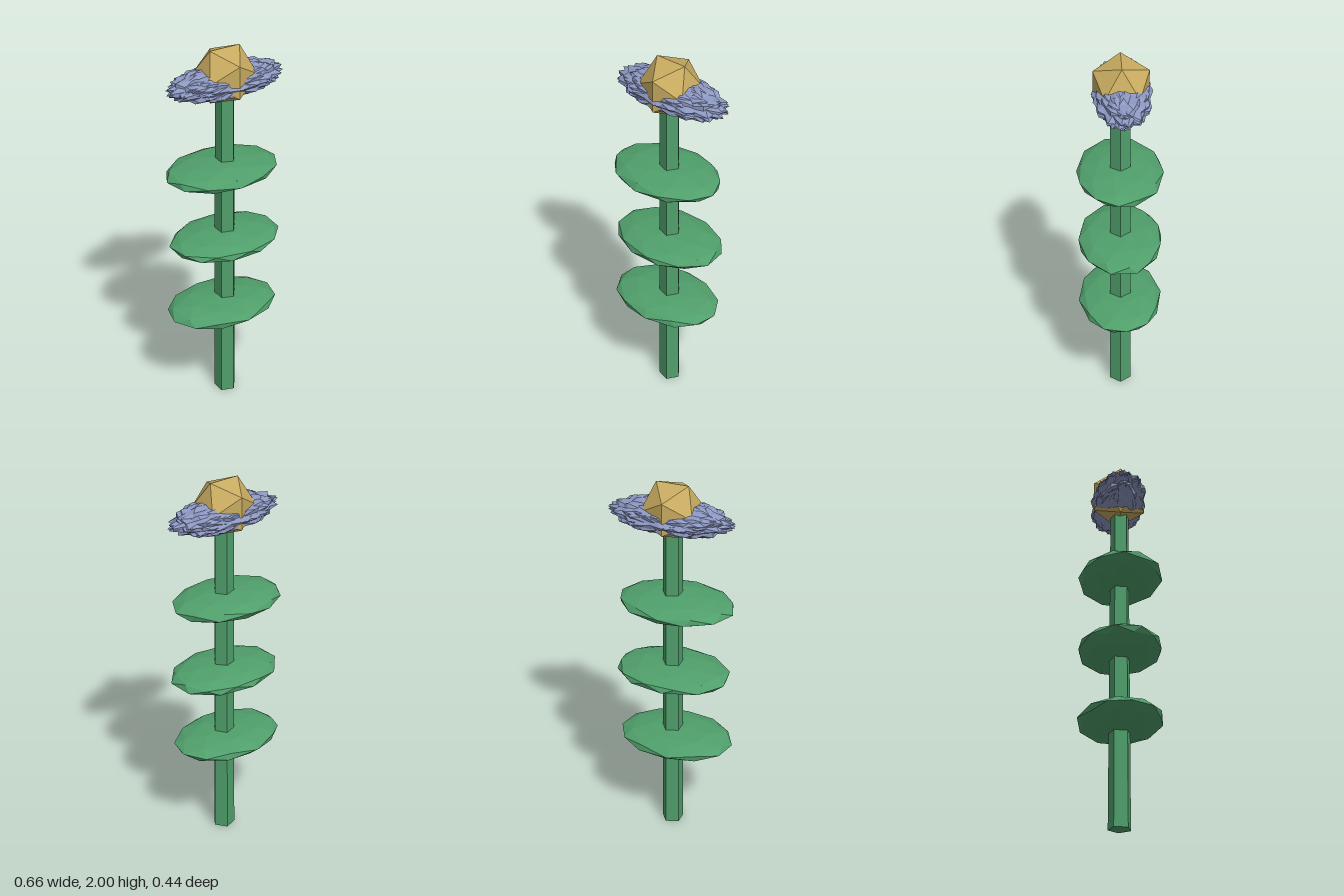
import * as THREE from 'three';

const material = (color) => new THREE.MeshStandardMaterial({ color, flatShading: true });

// Faceted ball, turned first and then squashed into an ellipsoid
function facetedEllipsoid(detail, turn, size) {
  const geometry = new THREE.IcosahedronGeometry(1, detail);
  geometry.applyMatrix4(new THREE.Matrix4().makeRotationFromEuler(new THREE.Euler(...turn)));
  geometry.scale(...size);
  geometry.computeVertexNormals();
  return geometry;
}

export function createModel() {
  const model = new THREE.Group();
  model.name = 'flower';
  const green = material(0x509f6b);
  const blue = material(0x8d98c2);
  const gold = material(0xc8ab60);

  const add = (name, geometry, mat, x, y, z, parent = model) => {
    const mesh = new THREE.Mesh(geometry, mat);
    mesh.name = name;
    mesh.position.set(x, y, z);
    parent.add(mesh);
    return mesh;
  };

  // Five-sided tapering stem
  add('stem', new THREE.CylinderGeometry(0.051, 0.06, 1.8, 5, 1, false, Math.PI / 2), green, 0, 0.9, 0);

  // Three flat leaf discs threaded on the stem
  [[0.553, -0.022, 0.1], [0.953, -0.004, 1.3], [1.357, -0.022, 0.5]].forEach(([y, x, turn], i) => {
    add(`leaf${i + 1}`, facetedEllipsoid(1, [0.2 * i, turn, 0.1], [0.308, 0.056, 0.222]), green, x, y, 0);
  });

  // Overlapping petals, rolled about the long axis to make a jagged oval
  const petals = new THREE.Group();
  petals.name = 'petals';
  petals.position.set(0.005, 1.83, -0.009);
  model.add(petals);
  const count = 12;
  for (let i = 0; i < count; i++) {
    const roll = (i / count) * Math.PI * 2;
    const geometry = facetedEllipsoid(0, [roll, i * 0.35, 0], [0.328, 0.084, 0.15]);
    add(`petal${i + 1}`, geometry, blue, 0, 0, 0, petals);
  }

  // Faceted flower centre
  add('flowerCentre', new THREE.IcosahedronGeometry(0.16, 0), gold, 0, 1.864, -0.005);

  return model;
}
